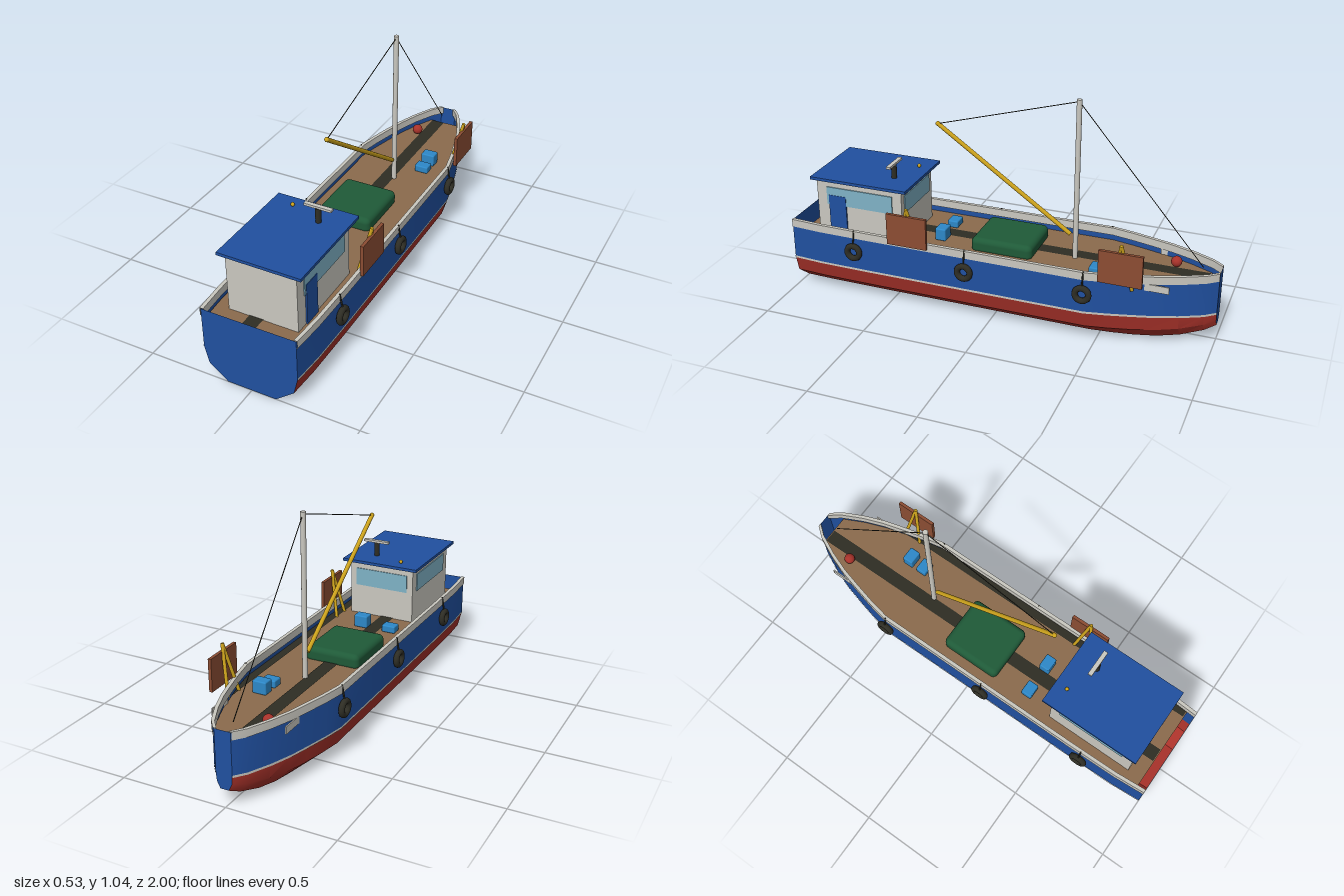
import * as THREE from 'three';
import { toCreasedNormals } from 'three/addons/utils/BufferGeometryUtils.js';
import { RoundedBoxGeometry } from 'three/addons/geometries/RoundedBoxGeometry.js';

const mat = (name, color) => new THREE.MeshStandardMaterial({ name, color, side: THREE.DoubleSide });

// Hull stations: z, half width, keel height
const STATIONS = [
  [1, 0.222, 0], [0.85, 0.232, 0], [0.6, 0.235, 0], [0, 0.235, 0], [-0.45, 0.235, 0],
  [-0.55, 0.215, 0], [-0.65, 0.19, 0.002], [-0.75, 0.163, 0.01], [-0.85, 0.126, 0.027],
  [-0.95, 0.078, 0.058], [-1, 0.038, 0.083],
];
const DECK = 0.285;

// Station values interpolated at any z
function station(z) {
  const i = Math.max(1, STATIONS.findIndex((s) => s[0] <= z));
  const a = STATIONS[i - 1], b = STATIONS[i];
  const t = (a[0] - z) / (a[0] - b[0]);
  return [z, a[1] + (b[1] - a[1]) * t, a[2] + (b[2] - a[2]) * t];
}

// Stations clipped to a range of z
function range(z0, z1) {
  return [station(z0), ...STATIONS.filter((s) => s[0] < z0 && s[0] > z1), station(z1)];
}

// Surface through the [x, y] profile of each station
function loft(stations, profile, closed = false) {
  const pos = [], index = [];
  const n = profile(stations[0]).length;
  stations.forEach((s, i) => {
    profile(s).forEach(([x, y], j) => {
      pos.push(x, y, s[0]);
      if (i === 0 || (j === n - 1 && !closed)) return;
      const k = (j + 1) % n, a = (i - 1) * n, b = i * n;
      index.push(a + j, b + j, a + k, a + k, b + j, b + k);
    });
  });
  const g = new THREE.BufferGeometry();
  g.setAttribute('position', new THREE.Float32BufferAttribute(pos, 3));
  g.setIndex(index);
  return toCreasedNormals(g, 0.5);
}

// Underwater profile from the waterline on +x round to -x
function bottom([, w, keel]) {
  const y = (v) => keel + v * (0.15 - keel) / 0.15;
  const half = [[w, 0.15], [w * 0.91, y(0.07)], [w * 0.52, y(0)]];
  return [...half, ...half.map(([x, v]) => [-x, v]).reverse()];
}

export function createModel() {
  const root = new THREE.Group();
  root.name = 'fishingBoat';
  const blue = mat('hullBlue', 0x2050a0);
  const red = mat('bottomRed', 0xa8322a);
  const grey = mat('paleGrey', 0xcac8c0);
  const brown = mat('deckBrown', 0x8b6b4c);
  const dark = mat('rubberDark', 0x2e2d24);
  const green = mat('hatchGreen', 0x1f5a38);
  const gold = mat('sparYellow', 0xcca21c);
  const sky = mat('crateBlue', 0x2d88c8);
  const glass = mat('windowGlass', 0x7fb2c6);
  const rust = mat('boardBrown', 0x8c4d33);

  const add = (name, geo, material, x = 0, y = 0, z = 0) => {
    const m = new THREE.Mesh(geo, material);
    m.name = name;
    m.position.set(x, y, z);
    root.add(m);
    return m;
  };
  // Box given by its limits
  const box = (name, material, x0, x1, y0, y1, z0, z1) =>
    add(name, new THREE.BoxGeometry(x1 - x0, y1 - y0, z1 - z0), material,
      (x0 + x1) / 2, (y0 + y1) / 2, (z0 + z1) / 2);
  // Round bar between two points
  const bar = (name, material, a, b, r, sides = 10) => {
    const p = new THREE.Vector3(...a), q = new THREE.Vector3(...b);
    const d = q.clone().sub(p);
    const m = add(name, new THREE.CylinderGeometry(r, r, d.length(), sides), material);
    m.position.copy(p).add(q).multiplyScalar(0.5);
    m.quaternion.setFromUnitVectors(new THREE.Vector3(0, 1, 0), d.normalize());
  };

  // Hull skin, waterline and rails
  add('hullBottom', loft(STATIONS, bottom), red);
  for (const s of [1, -1]) {
    add('hullSide', loft(STATIONS, ([, w]) => [[s * w, 0.15], [s * w, 0.345]]), blue);
    add('waterline', loft(STATIONS, ([, w]) => [[s * (w + 0.002), 0.146], [s * (w + 0.002), 0.156]]), grey);
    add('rail', loft(STATIONS, ([, w]) => [
      [s * (w + 0.005), 0.313], [s * (w + 0.005), 0.35], [s * (w - 0.012), 0.35], [s * (w - 0.012), 0.313],
    ], true), grey);
  }

  // Flat ends of the hull
  for (const [name, st, dz] of [['transom', STATIONS[0], 0], ['stemPlate', STATIONS.at(-1), 0]]) {
    const w = st[1];
    const outline = [[w, 0.347], ...bottom(st), [-w, 0.347]];
    const shape = new THREE.Shape(outline.map(([x, y]) => new THREE.Vector2(x, y)));
    const end = add(name, new THREE.ShapeGeometry(shape), blue, 0, 0, st[0] + dz);
    if (st[0] < 0) end.rotation.y = Math.PI;
  }

  // Deck with dark walkways
  add('deck', loft(range(0.96, -0.95), ([, w]) => [[-w + 0.004, DECK], [w - 0.002, DECK]]), brown);
  add('centreWalkway', loft(range(0.955, -0.945), () => [[-0.065, DECK + 0.003], [0, DECK + 0.003]]), dark);
  add('sideWalkway', loft(range(0.955, -0.64), ([, w]) =>
    [[Math.min(0.192, w - 0.003), DECK + 0.003], [w - 0.003, DECK + 0.003]]), dark);

  // Wheelhouse
  box('cabin', grey, -0.165, 0.165, DECK, 0.56, 0.45, 0.885);
  box('cabinRoof', blue, -0.195, 0.195, 0.559, 0.573, 0.415, 0.903);
  for (const s of [1, -1]) {
    box('sideWindow', glass, s * 0.167 - 0.003, s * 0.167 + 0.003, 0.435, 0.522, 0.497, 0.834);
  }
  box('forwardWindow', glass, -0.135, 0.135, 0.435, 0.522, 0.446, 0.452);
  box('cabinDoor', blue, 0.164, 0.172, DECK, 0.483, 0.735, 0.823);

  // Roof gear
  bar('radarPost', dark, [0.065, 0.57, 0.53], [0.065, 0.642, 0.53], 0.013, 16);
  box('radarBar', grey, 0, 0.13, 0.64, 0.651, 0.518, 0.538);
  add('roofLamp', new THREE.SphereGeometry(0.009, 12, 8), gold, -0.09, 0.58, 0.475);

  // Mast, boom and stays
  bar('mast', grey, [0, DECK, -0.335], [0, 1.045, -0.335], 0.012, 16);
  bar('boom', gold, [0, 0.4, -0.31], [0, 0.845, 0.33], 0.01, 12);
  add('boomTip', new THREE.SphereGeometry(0.011, 12, 8), gold, 0, 0.845, 0.33);
  bar('boomStay', dark, [0, 1.035, -0.335], [0, 0.845, 0.33], 0.002, 6);
  bar('foreStay', dark, [0, 1.035, -0.335], [0, 0.345, -0.92], 0.002, 6);

  // Deck cargo
  add('hatch', new RoundedBoxGeometry(0.265, 0.075, 0.295, 4, 0.025), green, -0.033, 0.308, -0.008);
  for (const [x, z, h] of [[0.097, -0.54, 0.06], [0.097, -0.463, 0.035], [-0.115, 0.305, 0.035], [0.032, 0.305, 0.06]]) {
    add('crate', new RoundedBoxGeometry(0.068, h, 0.053, 2, 0.006), sky, x, DECK + h / 2, z);
  }
  add('buoy', new THREE.SphereGeometry(0.025, 20, 14), red, -0.08, DECK + 0.025, -0.785);

  // Trawl boards hung from A-frames on the left side
  for (const z of [0.39, -0.61]) {
    box('trawlBoard', rust, 0.237, 0.252, 0.325, 0.477, z - 0.098, z + 0.098);
    for (const s of [1, -1]) {
      bar('gallowsLeg', gold, [0.195, 0.28, z + s * 0.043], [0.243, 0.51, z], 0.008);
    }
  }

  // Tyre fenders on ropes, and bow plates
  for (const s of [1, -1]) {
    for (const z of [0.668, 0.112, -0.444]) {
      add('tyreFender', new THREE.TorusGeometry(0.031, 0.014, 10, 24), dark, s * 0.25, 0.247, z).rotation.y = Math.PI / 2;
      bar('fenderRope', dark, [s * 0.236, 0.352, z], [s * 0.25, 0.28, z], 0.004, 6);
    }
    box('bowPlate', grey, s * 0.173 - 0.003, s * 0.173 + 0.003, 0.28, 0.313, -0.81, -0.693);
  }
  return root;
}
